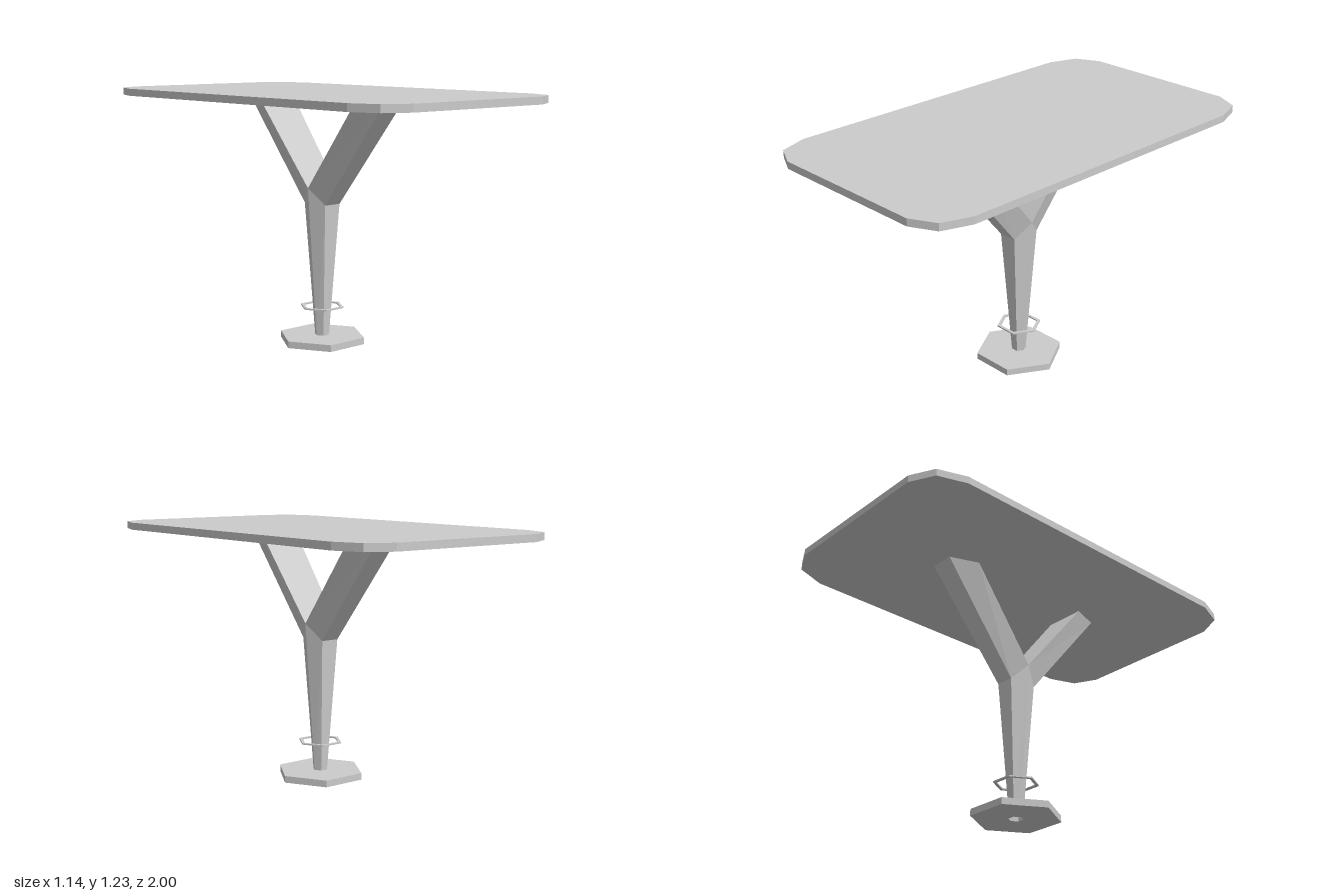
import * as THREE from 'three';

const material = new THREE.MeshStandardMaterial({ color: 0xcccccc, flatShading: true });

function addMesh(parent, name, geometry) {
  const mesh = new THREE.Mesh(geometry, material);
  mesh.name = name;
  parent.add(mesh);
  return mesh;
}

// Six corners, one pair on the x axis
function hexagon(radius) {
  return Array.from({ length: 6 }, (_, i) => {
    const a = (i * Math.PI) / 3;
    return new THREE.Vector2(radius * Math.cos(a), radius * Math.sin(a));
  });
}

// Flat outline, optionally with a hole, standing from y0 to y1
function slab(points, hole, y0, y1) {
  const shape = new THREE.Shape(points);
  if (hole) shape.holes.push(new THREE.Path(hole));
  const geometry = new THREE.ExtrudeGeometry(shape, { depth: y1 - y0, bevelEnabled: false });
  return geometry.rotateX(-Math.PI / 2).translate(0, y0, 0);
}

// Walls between two matching loops, counter-clockwise seen from above
function loft(lower, upper) {
  const positions = [];
  const n = lower.length;
  for (let i = 0; i < n; i++) {
    const j = (i + 1) % n;
    positions.push(...lower[i], ...lower[j], ...upper[j], ...lower[i], ...upper[j], ...upper[i]);
  }
  const geometry = new THREE.BufferGeometry();
  geometry.setAttribute('position', new THREE.Float32BufferAttribute(positions, 3));
  geometry.computeVertexNormals();
  return geometry;
}

// Stem cross-section: side corners may sit higher than the front and back ones
const stemLoop = (side, sideY, half, depth, y) => [
  [-side, sideY, 0], [-half, y, depth], [half, y, depth],
  [side, sideY, 0], [half, y, -depth], [-half, y, -depth],
];

export function createModel() {
  const model = new THREE.Group();
  model.name = 'table';

  // Table top with two-step clipped corners
  const corner = [[0.57, 0.8], [0.52, 0.94], [0.4, 1]];
  const outline = [];
  for (const [sx, sy] of [[1, 1], [-1, 1], [-1, -1], [1, -1]]) {
    const run = sx * sy > 0 ? corner : [...corner].reverse();
    for (const [x, y] of run) outline.push(new THREE.Vector2(sx * x, sy * y));
  }
  addMesh(model, 'tableTop', slab(outline, null, 1.19, 1.225));

  // Base plate and the thin ring around the stem
  addMesh(model, 'basePlate', slab(hexagon(0.216), hexagon(0.036), 0, 0.033));
  addMesh(model, 'ring', slab(hexagon(0.11), hexagon(0.094), 0.172, 0.179));

  // Tapered stem
  addMesh(model, 'stem', loft(
    stemLoop(0.036, 0.033, 0.018, 0.031, 0.033),
    stemLoop(0.09, 0.765, 0.046, 0.075, 0.685),
  ));

  // Two arms forking towards the front and back
  for (const [name, turn, wide] of [['frontArm', 0, 0.105], ['backArm', Math.PI, 0.113]]) {
    const arm = loft(
      [[-0.09, 0.765, 0], [-0.046, 0.685, 0.075], [0.046, 0.685, 0.075], [0.09, 0.765, 0]],
      [[-0.105, 1.19, 0.345], [-0.058, 1.19, 0.485], [0.058, 1.19, 0.485], [wide, 1.19, 0.345]],
    );
    addMesh(model, name, arm).rotation.y = turn;
  }

  return model;
}
